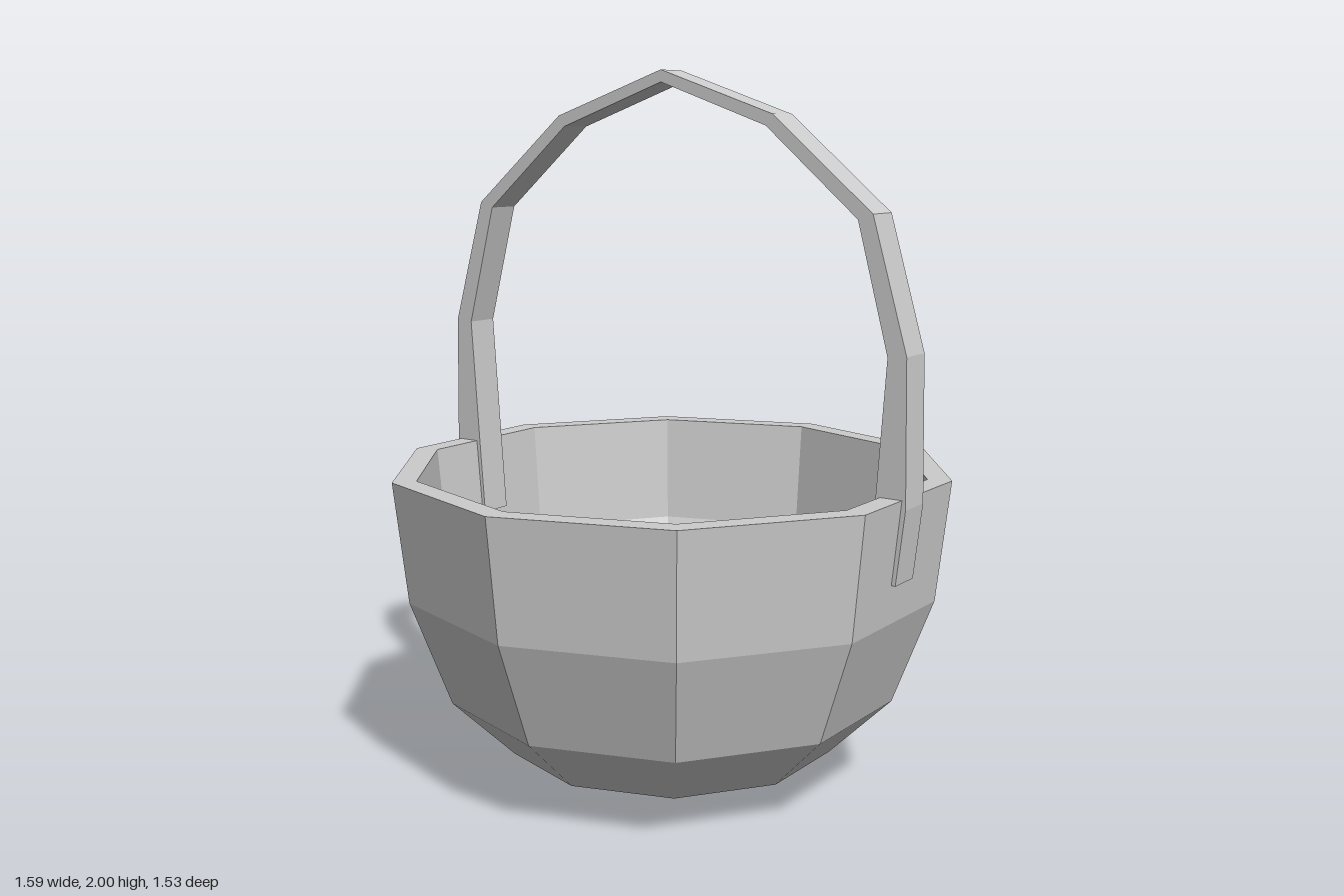
import * as THREE from 'three';

const material = new THREE.MeshStandardMaterial({ color: 0xcccccc, flatShading: true });
const vec = ([x, y]) => new THREE.Vector2(x, y);

// Ten-sided bowl: outer wall upwards, across the rim, then down the inside
function makeBowl() {
  const outer = [[0, 0.005], [0.25, 0.04], [0.47, 0.095], [0.645, 0.265], [0.757, 0.565], [0.795, 0.905]];
  const inner = [[0.728, 0.905], [0.7, 0.585], [0.592, 0.3], [0.405, 0.145], [0.14, 0.09], [0, 0.08]];
  const geometry = new THREE.LatheGeometry([...outer, ...inner].map(vec), 10, Math.PI / 2);
  const bowl = new THREE.Mesh(geometry, material);
  bowl.name = 'basketBowl';
  return bowl;
}

// Arched strap, drawn as a mirrored side outline and extruded across its width
function makeHandle() {
  const width = 0.1;
  const outer = [[0.743, 0.675], [0.767, 0.88], [0.759, 1.275], [0.655, 1.63], [0.355, 1.88]];
  const inner = [[0.335, 1.85], [0.612, 1.615], [0.705, 1.27], [0.68, 0.905], [0.664, 0.685]];
  const mirror = (points) => points.map(([z, y]) => [-z, y]).reverse();
  const outline = [...outer, [0, 2], ...mirror(outer), ...mirror(inner), [0, 1.967], ...inner];

  const geometry = new THREE.ExtrudeGeometry(new THREE.Shape(outline.map(vec)), {
    depth: width,
    bevelEnabled: false,
  });
  geometry.translate(0, 0, -width / 2).rotateY(-Math.PI / 2);
  const handle = new THREE.Mesh(geometry, material);
  handle.name = 'handle';
  return handle;
}

export function createModel() {
  const basket = new THREE.Group();
  basket.name = 'basket';
  basket.add(makeBowl(), makeHandle());
  return basket;
}
